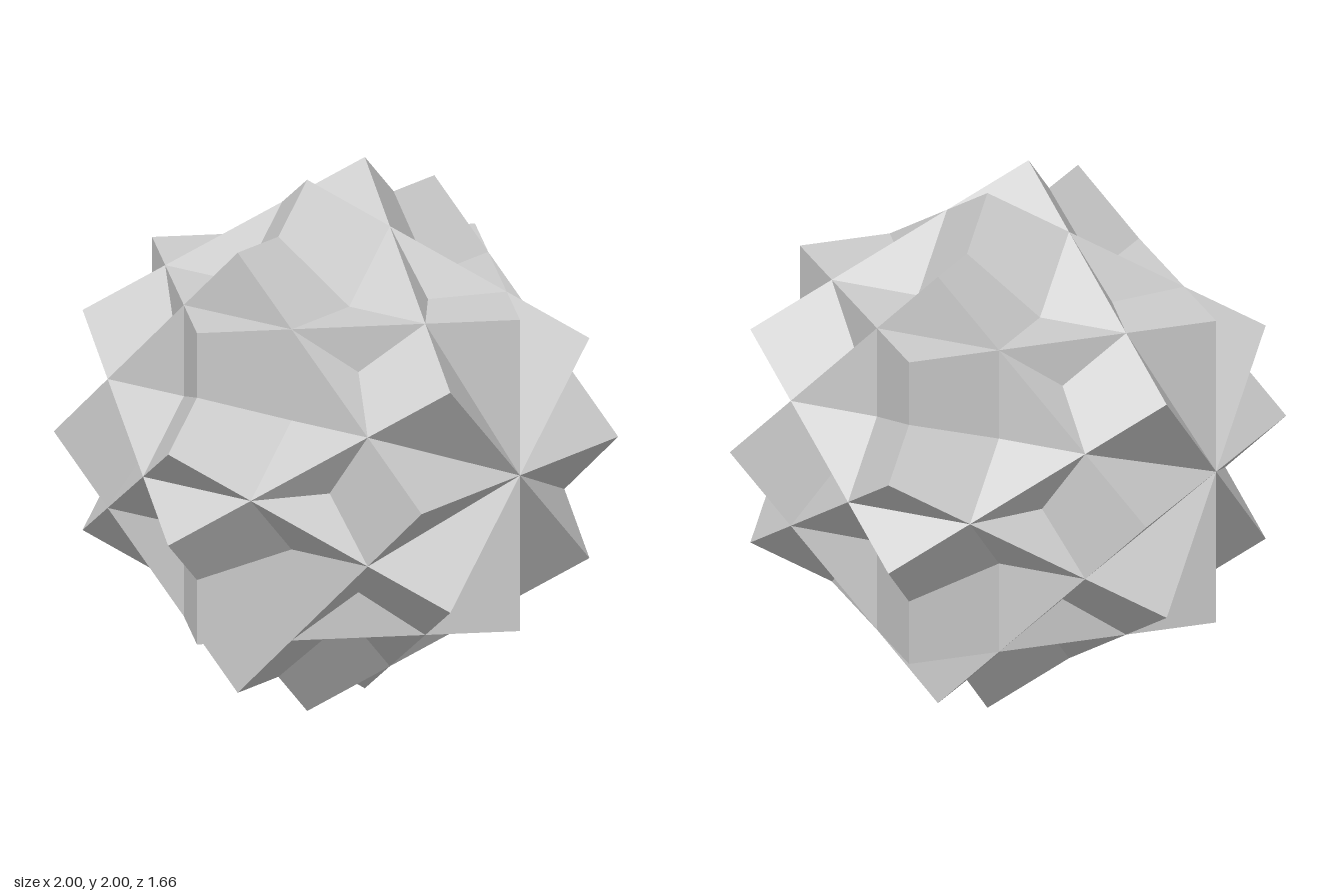
import * as THREE from 'three';

// Compound of four equal cubes sharing one centre: each stands on an edge
// along z and is turned in 45 degree steps about the z axis.
export function createModel() {
  const group = new THREE.Group();
  group.name = 'cubeCompound';

  const edge = 2 * (2 - Math.SQRT2); // gives an overall width of 2
  const geometry = new THREE.BoxGeometry(edge, edge, edge);
  const material = new THREE.MeshStandardMaterial({ color: 0xcccccc, flatShading: true });

  for (let i = 0; i < 4; i++) {
    const cube = new THREE.Mesh(geometry, material);
    cube.name = `cube${i + 1}`;
    // tilt about x first, then spin about z
    cube.rotation.set(Math.PI / 4, 0, (i * Math.PI) / 4, 'ZYX');
    cube.position.y = 1;
    group.add(cube);
  }
  return group;
}
